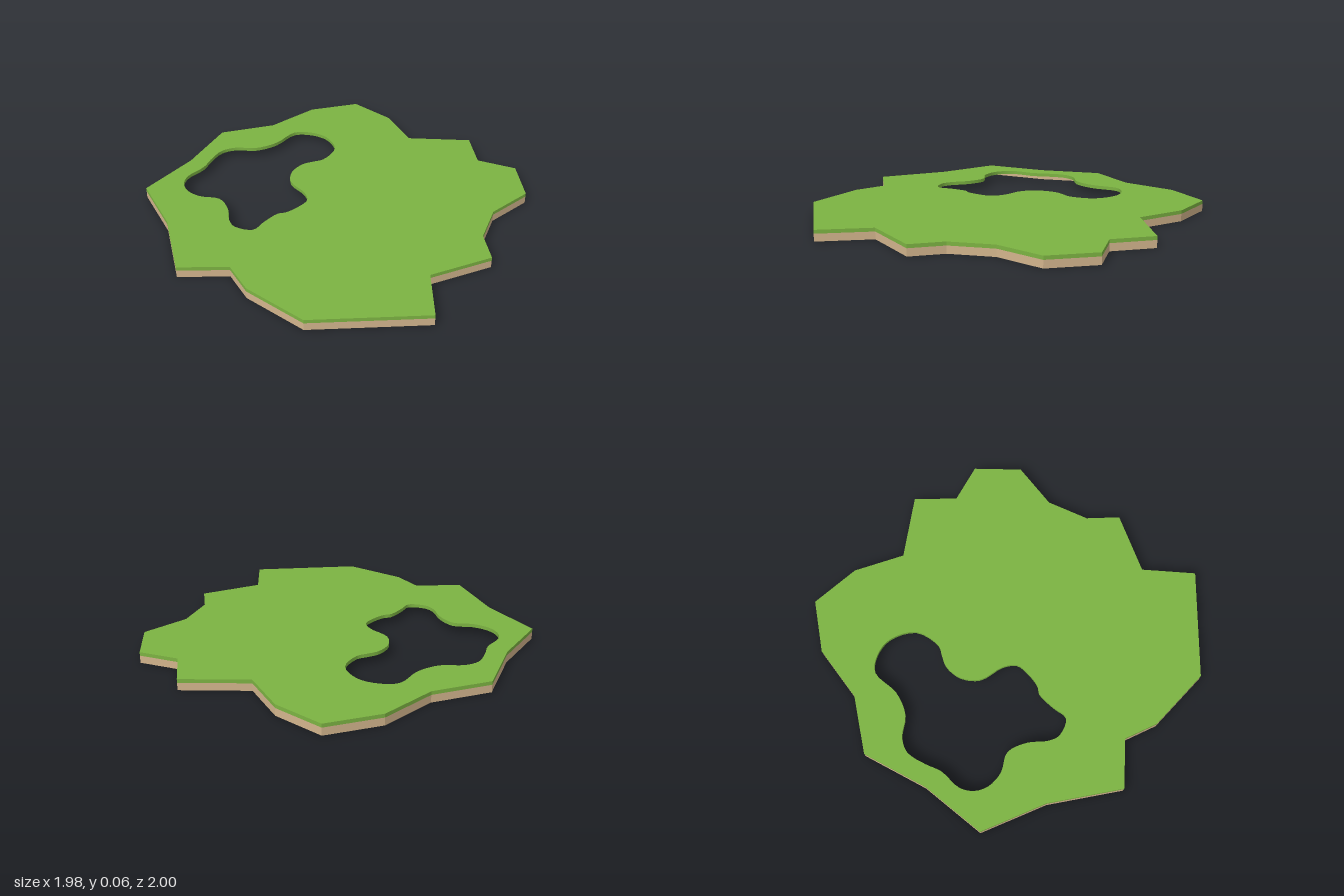
import * as THREE from 'three';

const TOP = 0.058, SEAM = 0.039;

// Jagged outer rim as [x, z], clockwise from above
const RIM = [
  [-0.02, -1], [0.26, -0.86], [0.57, -0.85], [0.825, -0.715], [0.84, -0.44], [0.745, -0.18],
  [0.985, 0.08], [0.84, 0.265], [0.925, 0.465], [0.755, 0.665], [0.49, 0.655], [0.28, 0.755],
  [0.17, 0.9], [-0.15, 0.785], [-0.35, 0.995], [-0.8, 0.615], [-0.845, 0.265], [-0.8, 0.085],
  [-0.99, -0.09], [-0.8, -0.44], [-0.7, -0.785], [-0.35, -0.86],
].map(([x, z]) => new THREE.Vector2(x, z));

// Control points of the curved opening as [x, z], clockwise from above
const HOLE = [
  [-0.155, -0.825], [-0.075, -0.8], [0.01, -0.715], [0.135, -0.68], [0.295, -0.7], [0.365, -0.635],
  [0.395, -0.53], [0.34, -0.395], [0.205, -0.35], [0.15, -0.37], [0.085, -0.39], [-0.01, -0.37],
  [-0.085, -0.295], [-0.105, -0.16], [-0.145, -0.095], [-0.22, -0.08], [-0.3, -0.085], [-0.34, -0.105],
  [-0.445, -0.095], [-0.525, -0.08], [-0.575, -0.165], [-0.56, -0.23], [-0.5, -0.32], [-0.475, -0.43],
  [-0.535, -0.52], [-0.55, -0.61], [-0.525, -0.68], [-0.465, -0.73], [-0.34, -0.75], [-0.26, -0.79],
].map(([x, z]) => new THREE.Vector3(x, 0, z));

// Upright strip along a closed loop; a clockwise loop faces outward
function wall(loop, y0, y1, smooth) {
  const n = loop.length, pos = [], index = [];
  loop.forEach((p, i) => {
    pos.push(p.x, y0, p.y, p.x, y1, p.y);
    const a = 2 * i, b = 2 * ((i + 1) % n);
    index.push(a, a + 1, b + 1, a, b + 1, b);
  });
  let g = new THREE.BufferGeometry();
  g.setAttribute('position', new THREE.Float32BufferAttribute(pos, 3));
  g.setIndex(index);
  if (!smooth) g = g.toNonIndexed();
  g.computeVertexNormals();
  return g;
}

export function createModel() {
  const group = new THREE.Group();
  const grass = new THREE.MeshStandardMaterial({ color: 0x7cb342, side: THREE.DoubleSide });
  const soil = new THREE.MeshStandardMaterial({ color: 0xd2b48c, side: THREE.DoubleSide });
  const add = (name, geometry, material) => {
    const mesh = new THREE.Mesh(geometry, material);
    mesh.name = name;
    group.add(mesh);
  };

  const hole = new THREE.CatmullRomCurve3(HOLE, true).getPoints(120).slice(0, -1)
    .map(p => new THREE.Vector2(p.x, p.z));

  // Flat grass sheet with the opening cut out
  const flip = p => new THREE.Vector2(p.x, -p.y);
  const shape = new THREE.Shape(RIM.map(flip));
  shape.holes.push(new THREE.Path(hole.map(flip)));
  const sheet = new THREE.ShapeGeometry(shape);
  sheet.rotateX(-Math.PI / 2).translate(0, TOP, 0);
  add('grassTop', sheet, grass);

  // Thin skirts hanging from the sheet, open underneath
  add('grassEdge', wall(RIM, SEAM, TOP, false), grass);
  add('soilEdge', wall(RIM, 0, SEAM, false), soil);
  add('holeEdge', wall([...hole].reverse(), SEAM, TOP, true), grass);

  return group;
}
